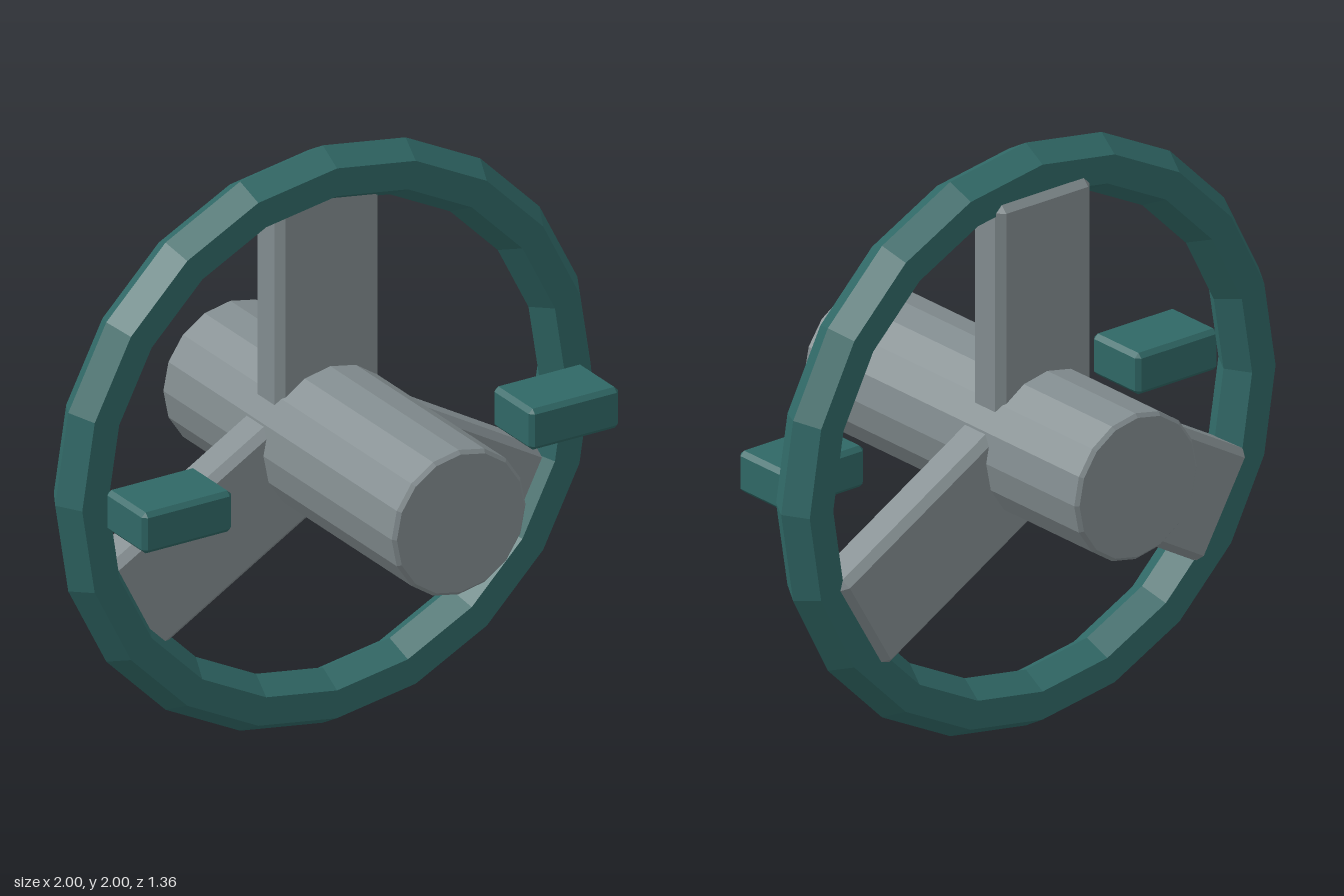
import * as THREE from 'three';
import { ConvexGeometry } from 'three/addons/geometries/ConvexGeometry.js';

// Box whose edges and corners are cut by a flat chamfer
function chamferBox(w, h, d, c) {
  const points = [];
  for (const x of [-1, 1]) for (const y of [-1, 1]) for (const z of [-1, 1]) {
    for (let axis = 0; axis < 3; axis++) {
      const cut = [c, c, c];
      cut[axis] = 0;
      points.push(new THREE.Vector3(x * (w / 2 - cut[0]), y * (h / 2 - cut[1]), z * (d / 2 - cut[2])));
    }
  }
  return new ConvexGeometry(points);
}

export function createModel() {
  const teal = new THREE.MeshStandardMaterial({ color: 0x306866 });
  teal.name = 'teal';
  teal.flatShading = true;
  const grey = new THREE.MeshStandardMaterial({ color: 0x828c8f });
  grey.name = 'grey';
  grey.flatShading = true;

  const wheel = new THREE.Group();
  wheel.name = 'wheel';
  const centreY = 1.002;

  function add(name, geometry, material, x, y, z) {
    const mesh = new THREE.Mesh(geometry, material);
    mesh.name = name;
    mesh.position.set(x, y, z);
    wheel.add(mesh);
    return mesh;
  }

  // Rim with a hexagonal section
  add('rim', new THREE.TorusGeometry(0.904, 0.096, 6, 20), teal, 0, 1, -0.126);

  // Hub: a long chamfered cylinder running front to back
  const r = 0.25, half = 0.678, bevel = 0.012;
  const profile = [
    [0, -half], [r - bevel, -half], [r, -half + bevel],
    [r, half - bevel], [r - bevel, half], [0, half],
  ].map(([a, b]) => new THREE.Vector2(a, b));
  const hub = add('hub', new THREE.LatheGeometry(profile, 16), grey, 0, centreY, 0);
  hub.rotation.x = Math.PI / 2;

  // Three spokes, from inside the hub into the rim
  const inner = 0.1, outer = 0.86;
  const spokeGeometry = chamferBox(0.385, outer - inner, 0.15, 0.025);
  spokeGeometry.translate(0, (inner + outer) / 2, 0);
  for (let i = 0; i < 3; i++) {
    const spoke = add('spoke' + (i + 1), spokeGeometry, grey, 0, centreY, -0.157);
    spoke.rotation.z = i * Math.PI * 2 / 3;
  }

  // Side blocks floating in front of the rim
  const blockGeometry = chamferBox(0.335, 0.142, 0.23, 0.015);
  add('leftBlock', blockGeometry, teal, 0.723, 1.004, 0.107);
  add('rightBlock', blockGeometry, teal, -0.723, 1.004, 0.107);

  return wheel;
}
